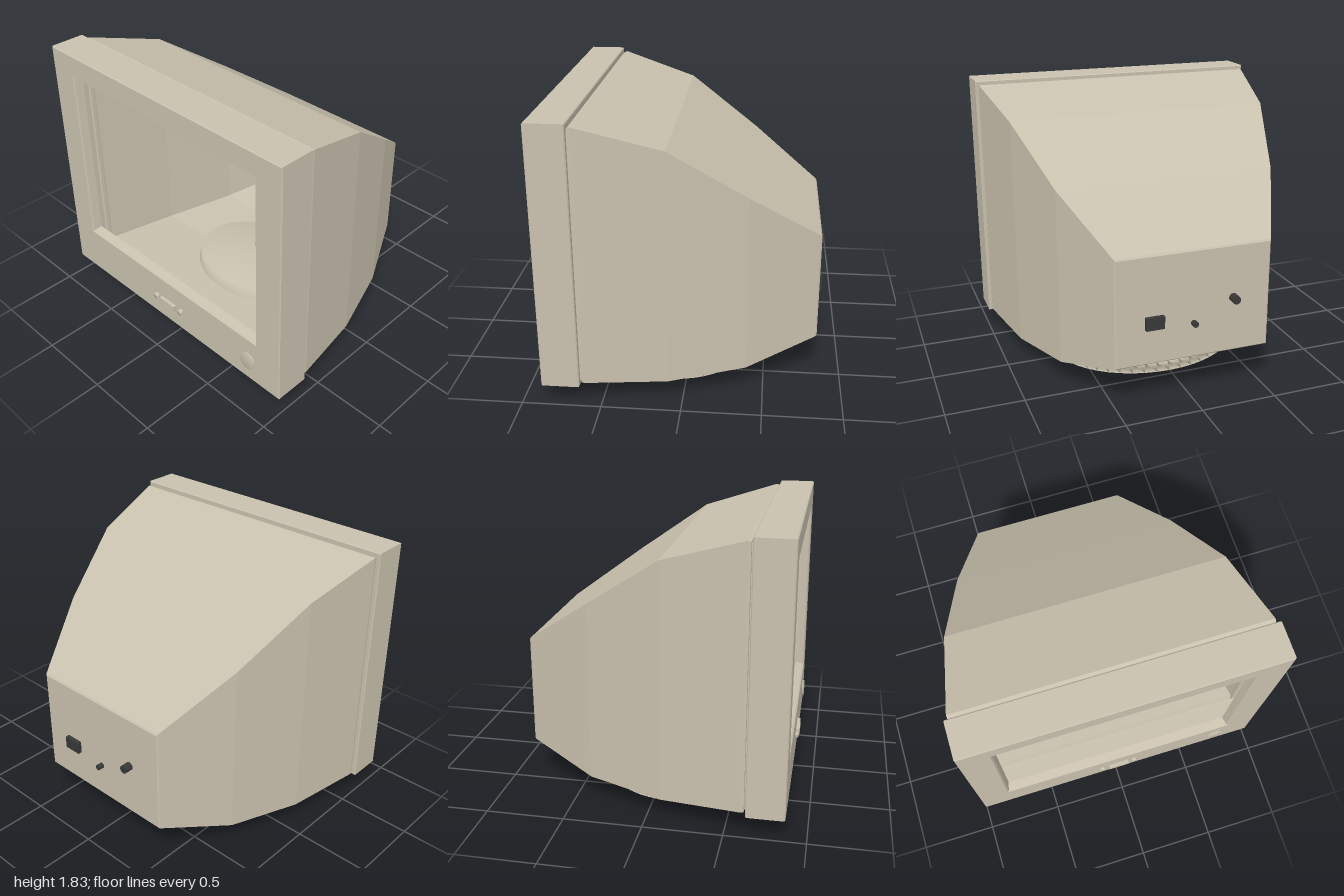
import * as THREE from 'three';

const beige = new THREE.MeshStandardMaterial({ color: 0xc9c1ae, side: THREE.DoubleSide });
beige.name = 'beige plastic';
const dark = new THREE.MeshStandardMaterial({ color: 0x383838 });
dark.name = 'dark connector';

// Flat-shaded skin through rectangles [z, halfWidth, bottom, top], ordered back to front
function loft(rings, capBack) {
  const corners = ([z, w, b, t]) => [[-w, b, z], [w, b, z], [w, t, z], [-w, t, z]];
  const pos = [];
  const quad = (a, b, c, d) => pos.push(...a, ...b, ...c, ...a, ...c, ...d);
  for (let i = 0; i < rings.length - 1; i++) {
    const p = corners(rings[i]), q = corners(rings[i + 1]);
    for (let k = 0; k < 4; k++) {
      const n = (k + 1) % 4;
      quad(p[k], p[n], q[n], q[k]);
    }
  }
  if (capBack) {
    const c = corners(rings[0]);
    quad(c[3], c[2], c[1], c[0]);
  }
  const g = new THREE.BufferGeometry();
  g.setAttribute('position', new THREE.Float32BufferAttribute(pos, 3));
  g.computeVertexNormals();
  return g;
}

// Smooth turned solid from [radius, height] pairs
function turned(points, segments) {
  return new THREE.LatheGeometry(points.map(([r, y]) => new THREE.Vector2(r, y)), segments);
}

export function createModel() {
  const model = new THREE.Group();
  model.name = 'monitor';
  const add = (name, geometry, material, x = 0, y = 0, z = 0) => {
    const m = new THREE.Mesh(geometry, material);
    m.name = name;
    m.position.set(x, y, z);
    model.add(m);
    return m;
  };

  // Hollow front frame with chamfered edges and a sloping window lip
  add('bezel', loft([
    [0.63, 0.96, 0.175, 1.79],
    [0.63, 0.994, 0.141, 1.824],
    [0.636, 1, 0.135, 1.83],
    [0.864, 1, 0.135, 1.83],
    [0.87, 0.994, 0.141, 1.824],
    [0.87, 0.81, 0.455, 1.685],
    [0.86, 0.80, 0.464, 1.676],
    [0.81, 0.785, 0.48, 1.658],
  ]), beige);

  // Tapering rear housing, open towards the window
  add('rearHousing', loft([
    [-0.84, 0.503, 0.298, 0.994],
    [-0.832, 0.512, 0.29, 1.006],
    [-0.39, 0.73, 0.165, 1.322],
    [0.09, 0.887, 0.136, 1.652],
    [0.6, 0.98, 0.155, 1.806],
    [0.62, 0.978, 0.158, 1.80],
    [0.622, 0.965, 0.17, 1.79],
    [0.64, 0.965, 0.17, 1.79],
  ], true), beige);

  // Oval swivel stand
  add('standPlate', turned([[0, 0], [0.65, 0], [0.605, 0.05], [0, 0.05]], 48),
    beige, 0, 0, 0.095).scale.z = 0.845;
  add('standNeck', turned([[0.478, 0.05], [0.46, 0.13], [0.43, 0.23], [0, 0.23]], 48),
    beige, 0, 0, 0.05).scale.z = 0.8;

  // Front controls
  const knob = (name, x, r, h) => {
    add(name, turned([[r, 0], [r, h], [0, h]], 24), beige, x, 0.29, 0.869).rotation.x = Math.PI / 2;
  };
  knob('powerButton', 0.738, 0.06, 0.015);
  for (const s of [-1, 1]) knob('adjustButton', s * 0.118, 0.02, 0.02);
  add('rockerButton', new THREE.BoxGeometry(0.14, 0.04, 0.026), beige, 0, 0.29, 0.881);

  // Rear connectors, passing through the back wall
  const plug = (name, x, y, r, end) => {
    const inner = -0.83;
    add(name, new THREE.CylinderGeometry(r, r, inner - end, 12), dark, x, y, (inner + end) / 2)
      .rotation.x = Math.PI / 2;
  };
  plug('roundConnector', -0.263, 0.655, 0.028, -0.895);
  plug('smallConnector', 0, 0.525, 0.019, -0.878);
  add('boxConnector', new THREE.BoxGeometry(0.12, 0.082, 0.038), dark, 0.26, 0.57, -0.849);

  return model;
}
